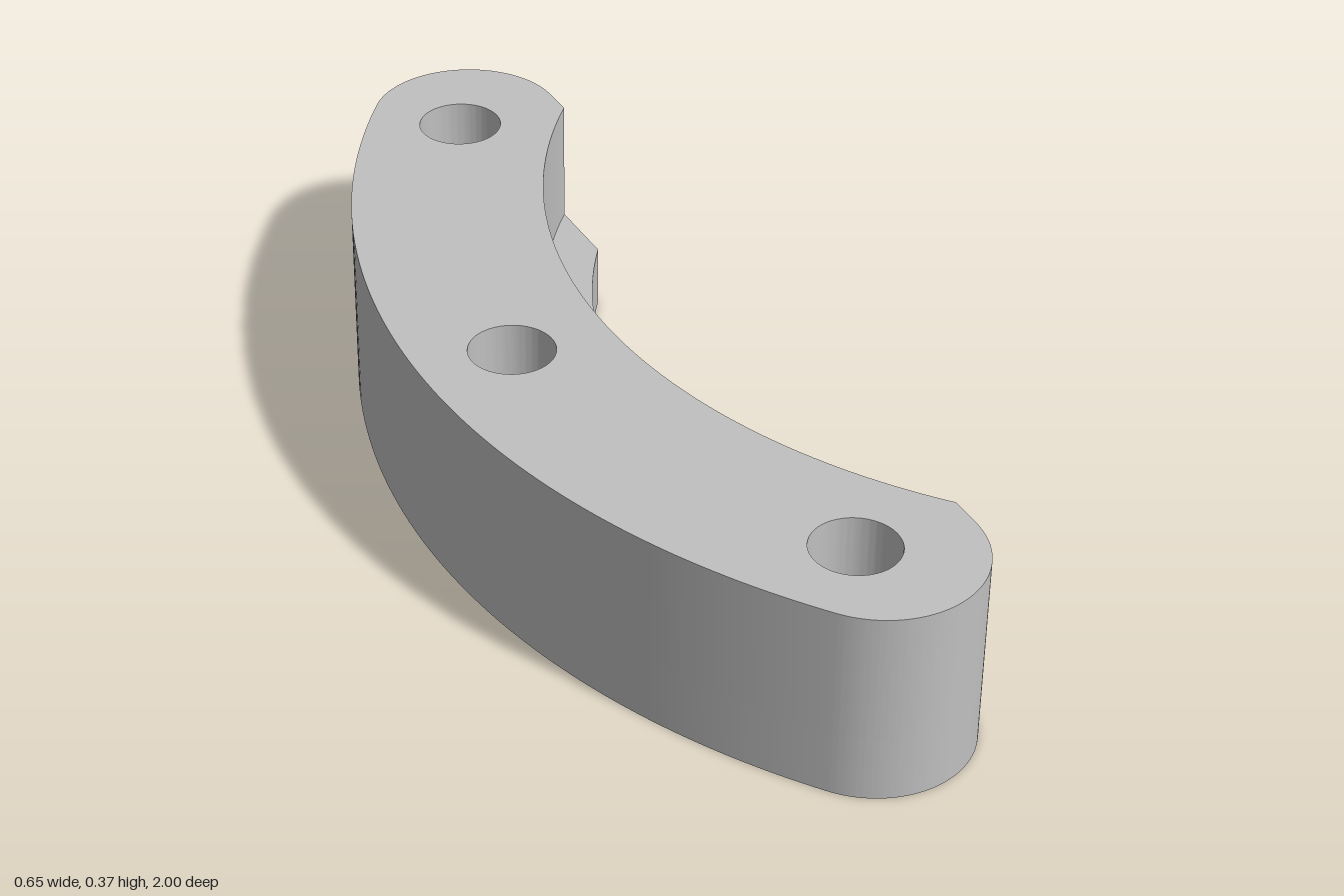
import * as THREE from 'three';
import { mergeGeometries, toCreasedNormals } from 'three/addons/utils/BufferGeometryUtils.js';

const HEIGHT = 0.373, STEP = 0.126;          // full height, ledge height
const C = 1.186, OUTER = 1.511;              // shared arc centre x, outer radius
const LOWER_IN = 1.048, UPPER_IN = 1.143;    // inner radii below and above the ledge
const EDGE = 0.325, CAP = 0.185, CAP_X = EDGE - CAP, CAP_Z = 0.815;
const SEG = 40;
const HOLES = [[-0.144, 0], [0.112, 0.785], [0.112, -0.785]];

// Half angle at which an inner arc meets the flat edge
const halfAngle = (r) => Math.acos((C - EDGE) / r);

function innerArc(shape, r) {
  const b = halfAngle(r);
  shape.lineTo(EDGE, -r * Math.sin(b));
  shape.absarc(C, 0, r, Math.PI + b, Math.PI - b, true);
  shape.closePath();
  return shape;
}

// Curved bar with rounded ends and three through holes
function barShape(r) {
  const a = Math.PI - Math.atan2(CAP_Z, C - CAP_X);
  const s = new THREE.Shape();
  s.moveTo(EDGE, r * Math.sin(halfAngle(r)));
  s.lineTo(EDGE, CAP_Z);
  s.absarc(CAP_X, CAP_Z, CAP, 0, a, false);
  s.absarc(C, 0, OUTER, a, 2 * Math.PI - a, false);
  s.absarc(CAP_X, -CAP_Z, CAP, -a, 0, false);
  innerArc(s, r);
  for (const [x, z] of HOLES) {
    s.holes.push(new THREE.Path().absarc(x, z, 0.08, 0, Math.PI * 2, true));
  }
  return s;
}

// Crescent between the two inner arcs
function ledgeShape() {
  const b = halfAngle(UPPER_IN);
  const s = new THREE.Shape();
  s.moveTo(EDGE, LOWER_IN * Math.sin(halfAngle(LOWER_IN)));
  s.lineTo(EDGE, UPPER_IN * Math.sin(b));
  s.absarc(C, 0, UPPER_IN, Math.PI - b, Math.PI + b, false);
  return innerArc(s, LOWER_IN);
}

// Side walls only, so no faces are buried between the two tiers
function walls(shape, y0, y1) {
  const ext = new THREE.ExtrudeGeometry(shape, { depth: y1 - y0, bevelEnabled: false, curveSegments: SEG });
  const side = ext.groups[1];
  const geo = new THREE.BufferGeometry();
  for (const name of ['position', 'normal', 'uv']) {
    const at = ext.attributes[name], n = at.itemSize;
    const part = at.array.slice(side.start * n, (side.start + side.count) * n);
    geo.setAttribute(name, new THREE.BufferAttribute(part, n));
  }
  geo.rotateX(-Math.PI / 2).translate(0, y0, 0);
  return toCreasedNormals(geo, 0.45);
}

function flat(shape, y, down = false) {
  return new THREE.ShapeGeometry(shape, SEG)
    .rotateX(down ? Math.PI / 2 : -Math.PI / 2).translate(0, y, 0);
}

export function createModel() {
  const group = new THREE.Group();
  group.name = 'curvedBracket';
  const grey = new THREE.MeshStandardMaterial({ color: 0xc0c0c0 });
  grey.name = 'grey';
  const add = (name, geo) => {
    const mesh = new THREE.Mesh(geo, grey);
    mesh.name = name;
    group.add(mesh);
  };

  const lower = barShape(LOWER_IN), upper = barShape(UPPER_IN);
  add('sideWalls', mergeGeometries([walls(lower, 0, STEP), walls(upper, STEP, HEIGHT)]));
  add('topFace', flat(upper, HEIGHT));
  add('ledge', flat(ledgeShape(), STEP));
  add('bottomFace', flat(lower, 0, true));
  return group;
}
